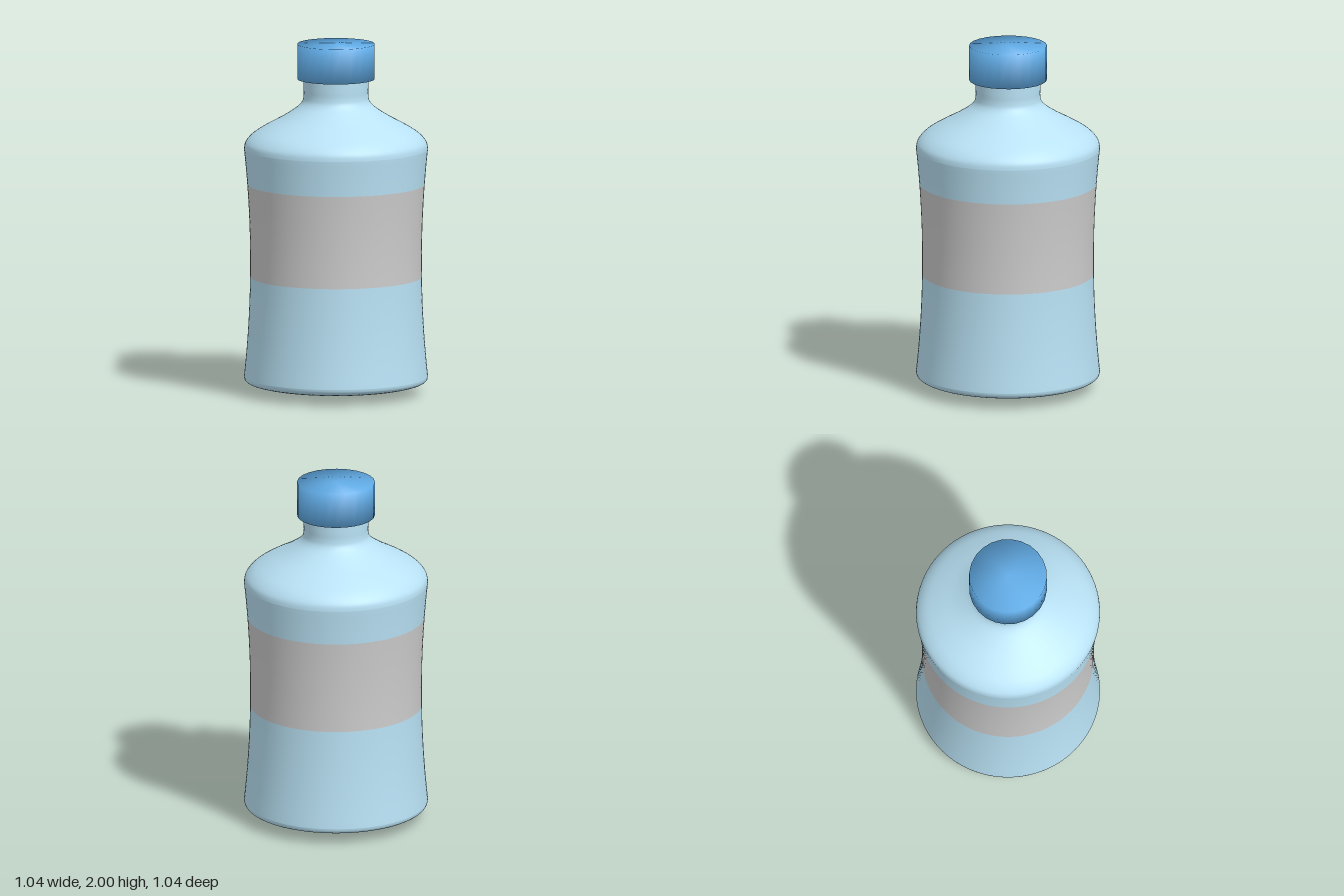
import * as THREE from 'three';
import { mergeVertices } from 'three/addons/utils/BufferGeometryUtils.js';

const SEGMENTS = 96;
const material = (color) => new THREE.MeshStandardMaterial({ color, side: THREE.DoubleSide });

// Gently waisted wall, narrowest at y = 0.75
const wallRadius = (y) => 0.485 + 0.035 * ((y - 0.75) / 0.65) ** 2;

function wall(y0, y1, steps) {
  const pts = [];
  for (let i = 0; i <= steps; i++) {
    const y = y0 + ((y1 - y0) * i) / steps;
    pts.push(new THREE.Vector2(wallRadius(y), y));
  }
  return pts;
}

// Smooth curve through a few [radius, height] points
const smooth = (pairs, n) =>
  new THREE.SplineCurve(pairs.map(([x, y]) => new THREE.Vector2(x, y))).getPoints(n);

function lathe(name, points, mat) {
  const mesh = new THREE.Mesh(new THREE.LatheGeometry(points, SEGMENTS), mat);
  mesh.name = name;
  return mesh;
}

export function createModel() {
  const group = new THREE.Group();
  group.name = 'bottle';
  const plastic = material(0xb9e2f5);

  // Shallow conical base with a rounded rim, then the lower wall
  const base = smooth([[0, 0.003], [0.2, 0.025], [0.4, 0.047], [0.48, 0.062], [0.512, 0.078], [0.52, 0.1]], 30);
  group.add(lathe('lowerBody', [...base, ...wall(0.1, 0.67, 14).slice(1)], plastic));

  // Flush label band
  group.add(lathe('label', wall(0.67, 1.2, 14), material(0xcccccc)));

  // Upper wall, sloping shoulder and neck
  const shoulder = smooth([
    [0.52, 1.4], [0.511, 1.44], [0.47, 1.485], [0.4, 1.53], [0.3, 1.585],
    [0.225, 1.635], [0.192, 1.67], [0.183, 1.705], [0.183, 1.75], [0.183, 1.81],
  ], 48);
  group.add(lathe('shoulderAndNeck', [...wall(1.2, 1.4, 6), ...shoulder.slice(1)], plastic));

  // Screw cap with softly shaded edges
  let capGeometry = new THREE.CylinderGeometry(0.22, 0.22, 0.2, 24);
  capGeometry.deleteAttribute('normal');
  capGeometry.deleteAttribute('uv');
  capGeometry = mergeVertices(capGeometry);
  capGeometry.computeVertexNormals();
  const cap = new THREE.Mesh(capGeometry, material(0x62ade8));
  cap.name = 'cap';
  cap.position.y = 1.9;
  group.add(cap);

  return group;
}
